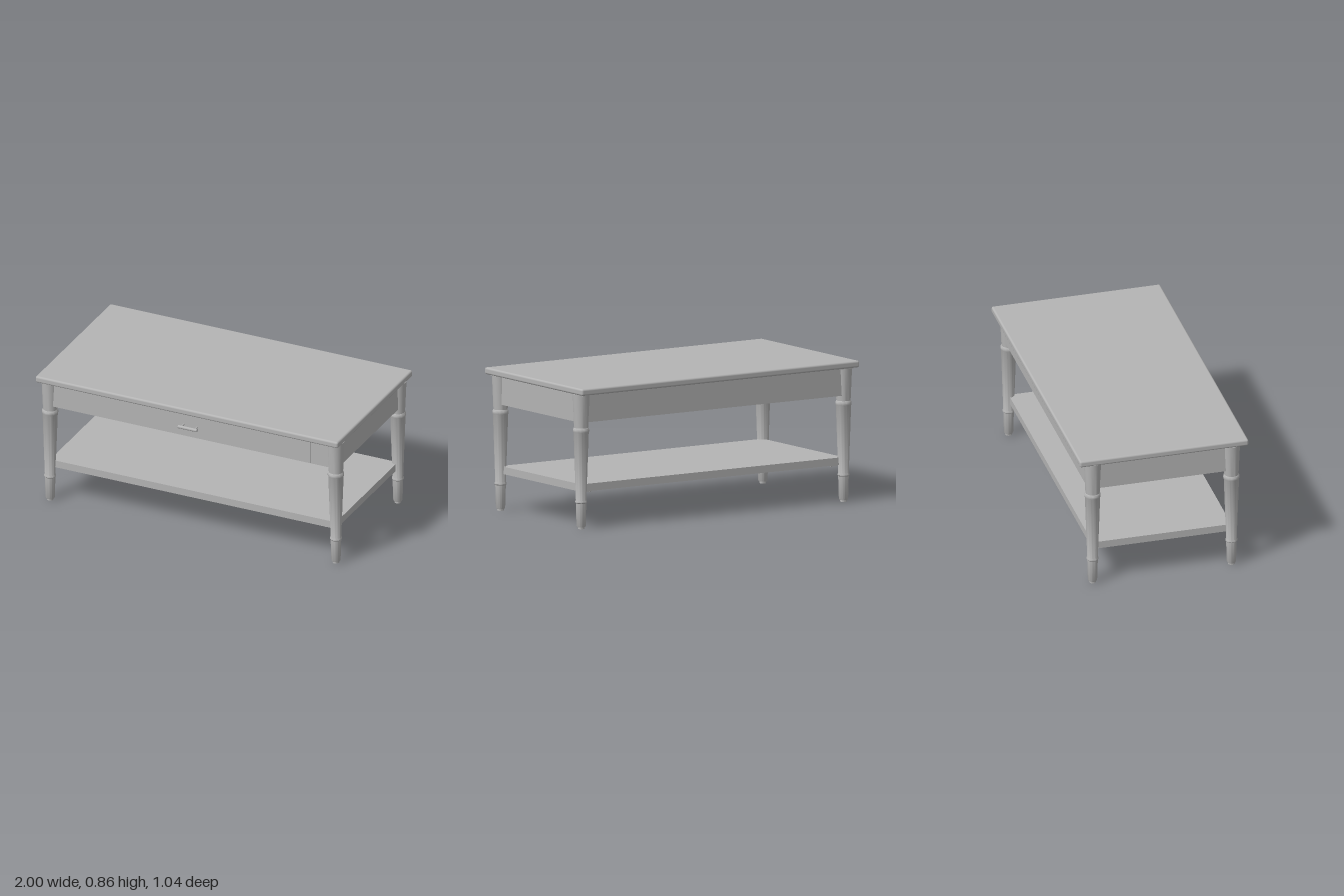
import * as THREE from 'three';
import { RoundedBoxGeometry } from 'three/addons/geometries/RoundedBoxGeometry.js';
import { toCreasedNormals } from 'three/addons/utils/BufferGeometryUtils.js';

const LEG_X = 0.945, LEG_Z = 0.43;

export function createModel() {
  const table = new THREE.Group();
  table.name = 'coffeeTable';

  const grey = new THREE.MeshStandardMaterial({ color: 0xb4b4b4 });
  grey.name = 'grey';

  const add = (name, geometry, x, y, z, parent = table) => {
    const mesh = new THREE.Mesh(geometry, grey);
    mesh.name = name;
    mesh.position.set(x, y, z);
    parent.add(mesh);
    return mesh;
  };
  // box given by its width, bottom, top and depth
  const slab = (name, w, y0, y1, d, z = 0) =>
    add(name, new THREE.BoxGeometry(w, y1 - y0, d), 0, (y0 + y1) / 2, z);

  // top with eased edges, and the thin board beneath it
  add('tableTop', new RoundedBoxGeometry(2, 0.041, 1.045, 3, 0.012), 0, 0.8375, 0);
  slab('underBoard', 1.95, 0.811, 0.819, 0.99);

  // closed drawer case and lower shelf
  slab('drawerCase', 1.93, 0.645, 0.812, 0.92);
  slab('drawerFront', 1.58, 0.647, 0.81, 0.006, 0.46);
  slab('shelf', 1.89, 0.223, 0.268, 0.86);

  // bar handle on two posts
  const handle = new THREE.Group();
  handle.name = 'drawerHandle';
  handle.position.set(0, 0.723, 0);
  table.add(handle);
  add('handleBar', new THREE.CylinderGeometry(0.01, 0.01, 0.125, 12), 0, 0, 0.505, handle).rotation.z = Math.PI / 2;
  for (const s of [-1, 1]) {
    add('handlePost', new THREE.CylinderGeometry(0.005, 0.005, 0.045, 8), s * 0.045, 0, 0.482, handle).rotation.x = Math.PI / 2;
  }

  // turned leg profile: foot, ankle ring, taper, upper ring, top
  const profile = [
    [0, 0], [0.02, 0], [0.02, 0.012], [0.025, 0.012], [0.028, 0.018],
    [0.032, 0.155], [0.036, 0.16], [0.036, 0.167], [0.032, 0.174],
    [0.046, 0.582], [0.049, 0.588], [0.049, 0.6], [0.046, 0.608],
    [0.043, 0.612], [0.052, 0.817], [0, 0.817],
  ].map(([r, y]) => new THREE.Vector2(r, y));
  const legGeometry = toCreasedNormals(new THREE.LatheGeometry(profile, 28), 0.6);

  for (const sx of [-1, 1]) {
    for (const sz of [-1, 1]) {
      add('leg', legGeometry, sx * LEG_X, 0, sz * LEG_Z);
      // small fixing under each shelf corner
      add('shelfBracket', new THREE.BoxGeometry(0.04, 0.006, 0.02), sx * 0.89, 0.22, sz * 0.41);
      add('bracketScrew', new THREE.CylinderGeometry(0.008, 0.006, 0.008, 10), sx * 0.868, 0.217, sz * 0.41);
    }
  }
  return table;
}
